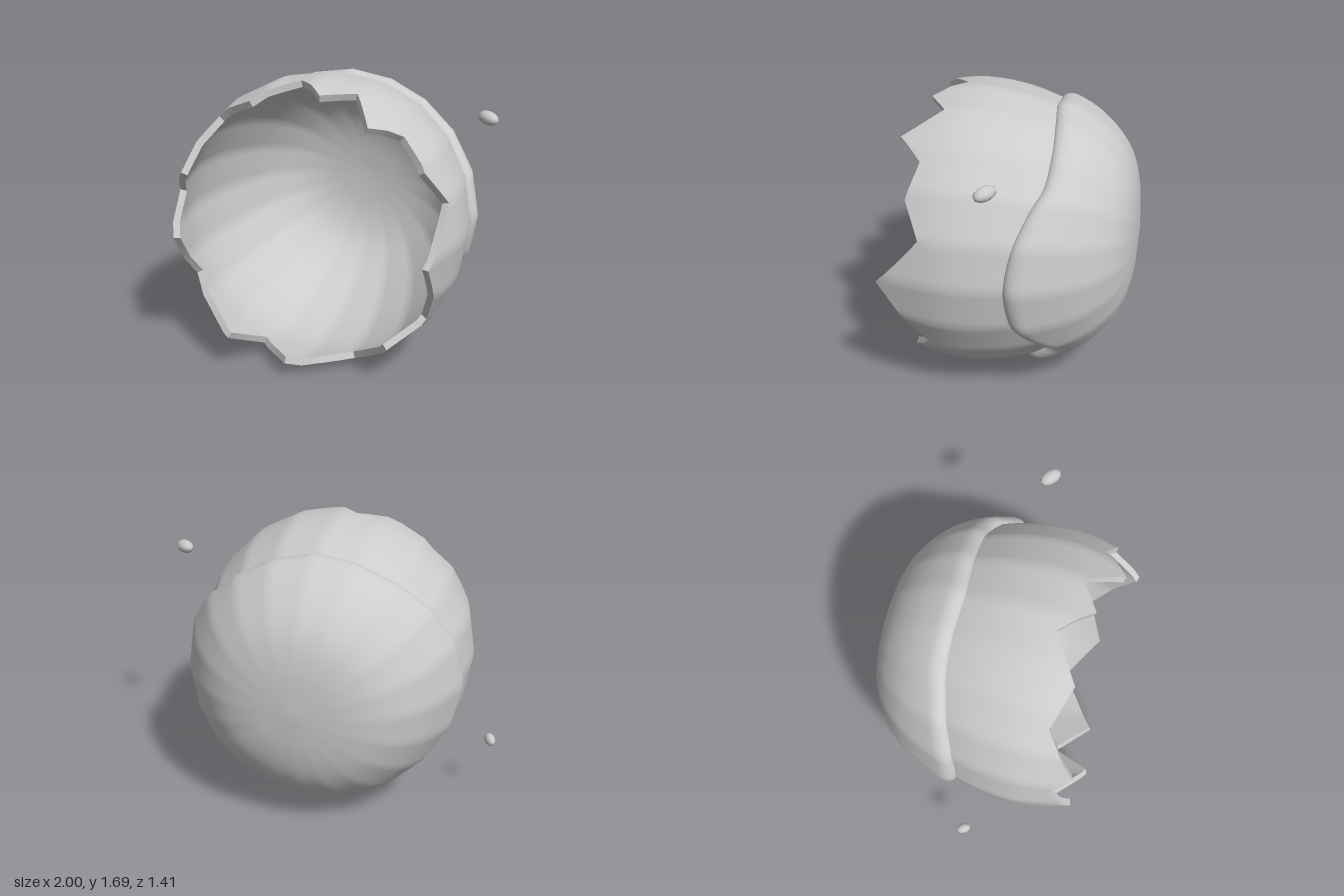
import * as THREE from 'three';
import { mergeVertices, toCreasedNormals } from 'three/addons/utils/BufferGeometryUtils.js';

const CX = 0.04, CY = 0.845, STEPS = 120, SIDES = 20;
const material = new THREE.MeshStandardMaterial({ color: 0xcccccc });

// Egg profile as (radius, z), from the broken front to the back pole
const profile = new THREE.SplineCurve([
  [0.74, 0.76], [0.795, 0.56], [0.845, 0.3], [0.826, 0.04], [0.755, -0.2],
  [0.645, -0.42], [0.48, -0.585], [0.27, -0.665], [0, -0.69],
].map(([r, z]) => new THREE.Vector2(r, z)));
const LENGTH = profile.getLength();

// Position along the profile where it reaches a given z
function paramAtZ(z) {
  let lo = 0, hi = 1;
  for (let k = 0; k < 24; k++) {
    const mid = (lo + hi) / 2;
    if (profile.getPointAt(mid).y > z) lo = mid; else hi = mid;
  }
  return lo;
}

// Point on the egg at an angle (degrees from the top towards +x), pushed out by offset
function eggPoint(deg, t, offset) {
  const p = profile.getPointAt(t), tan = profile.getTangentAt(t);
  if (t > 0.9999) tan.set(-1, 0);
  const side = 360 / SIDES;
  const local = THREE.MathUtils.degToRad((deg % side) - side / 2);
  const facet = Math.cos(Math.PI / SIDES) / Math.cos(local);
  const r = t > 0.9999 ? 0 : Math.max(0, p.x - tan.y * offset) * facet;
  const a = THREE.MathUtils.degToRad(deg);
  return [CX + r * Math.sin(a), CY + r * Math.cos(a), p.y + tan.x * -offset * -1];
}

// Closed ring grid: fn(deg, j) for j = 0..rows
function ringGrid(rows, fn) {
  const pos = [], index = [];
  for (let j = 0; j <= rows; j++)
    for (let i = 0; i < STEPS; i++) pos.push(...fn(i * 360 / STEPS, j));
  for (let j = 0; j < rows; j++)
    for (let i = 0; i < STEPS; i++) {
      const a = j * STEPS + i, b = j * STEPS + (i + 1) % STEPS;
      index.push(a, b, b + STEPS, a, b + STEPS, a + STEPS);
    }
  const g = new THREE.BufferGeometry();
  g.setAttribute('position', new THREE.Float32BufferAttribute(pos, 3));
  g.setIndex(index);
  return mergeVertices(g);
}

// Edge lookup tables from [angle, z] pairs, cached per step
function edgeParams(pairs, Interpolant) {
  const f = new Interpolant(pairs.map(p => p[0]), pairs.map(p => p[1]), 1, [0]);
  return Array.from({ length: STEPS }, (_, i) => paramAtZ(f.evaluate(i * 360 / STEPS)[0]));
}
const stepOf = deg => Math.round(deg * STEPS / 360);

// Jagged break line of the shell
const crack = [
  [0, 0.41], [6, 0.5], [18, 0.385], [30, 0.6], [42, 0.455], [57, 0.51], [72, 0.42],
  [93, 0.68], [123, 0.42], [141, 0.55], [162, 0.39], [171, 0.5], [186, 0.65],
  [201, 0.46], [213, 0.7], [243, 0.46], [264, 0.65], [282, 0.5], [294, 0.62],
  [318, 0.43], [336, 0.5], [354, 0.33], [360, 0.41],
];

// Flowing lower edge of the coating, with one drip
const flow = [
  [0, -0.2], [20, -0.225], [36, -0.23], [48, -0.21], [60, -0.14], [75, -0.07], [90, -0.04],
  [105, -0.06], [115, -0.11], [125, -0.2], [132, -0.25], [139, -0.24], [145, -0.14],
  [151, -0.095], [158, -0.1], [165, -0.14], [172, -0.19], [185, -0.24], [200, -0.26],
  [213, -0.22], [222, -0.19], [240, -0.12], [255, -0.06], [270, -0.03], [285, -0.05],
  [300, -0.1], [315, -0.15], [330, -0.19], [345, -0.2], [360, -0.2],
];

// Thick shell: inner wall, broken rim, outer wall in one sweep
function makeShell() {
  const edge = edgeParams(crack, THREE.LinearInterpolant), n = 24;
  const g = ringGrid(2 * n + 1, (deg, j) => {
    const inner = j <= n;
    const u = inner ? 1 - j / n : (j - n - 1) / n;
    const t0 = edge[stepOf(deg)];
    return eggPoint(deg, t0 + (1 - t0) * u, inner ? -0.04 : 0);
  });
  return new THREE.Mesh(toCreasedNormals(g, 0.6), material);
}

// Coating: rounded lip that thins towards the back pole
function makeCoating() {
  const edge = edgeParams(flow, THREE.CubicInterpolant), n = 36, lip = 0.085;
  const g = ringGrid(n, (deg, j) => {
    const t0 = edge[stepOf(deg)];
    const u = (j / n) ** 2;
    const s = (1 - t0) * u * LENGTH;
    const round = Math.sqrt(1 - Math.max(0, 1 - s / lip) ** 2);
    const thick = 0.015 + 0.037 * (1 - THREE.MathUtils.smoothstep(u, 0.1, 0.9));
    return eggPoint(deg, t0 + (1 - t0) * u, -0.008 + (thick + 0.008) * round);
  });
  g.computeVertexNormals();
  return new THREE.Mesh(g, material);
}

// Small loose drop, stretched along a direction
function makeDrop(position, radii, axis) {
  const g = new THREE.SphereGeometry(1, 10, 8).scale(...radii);
  const drop = new THREE.Mesh(g, material);
  drop.position.set(...position);
  drop.quaternion.setFromUnitVectors(
    new THREE.Vector3(1, 0, 0), new THREE.Vector3(...axis).normalize());
  return drop;
}

export function createModel() {
  const model = new THREE.Group();
  model.name = 'brokenEgg';
  const add = (name, mesh) => { mesh.name = name; model.add(mesh); };
  add('shell', makeShell());
  add('coating', makeCoating());
  add('leftDrop', makeDrop([0.935, 1.475, 0.025], [0.072, 0.038, 0.042], [1, -0.1, 0.75]));
  add('rightDrop', makeDrop([-0.967, 0.405, 0.063], [0.046, 0.034, 0.03], [0.5, 0.25, 0.8]));
  return model;
}
